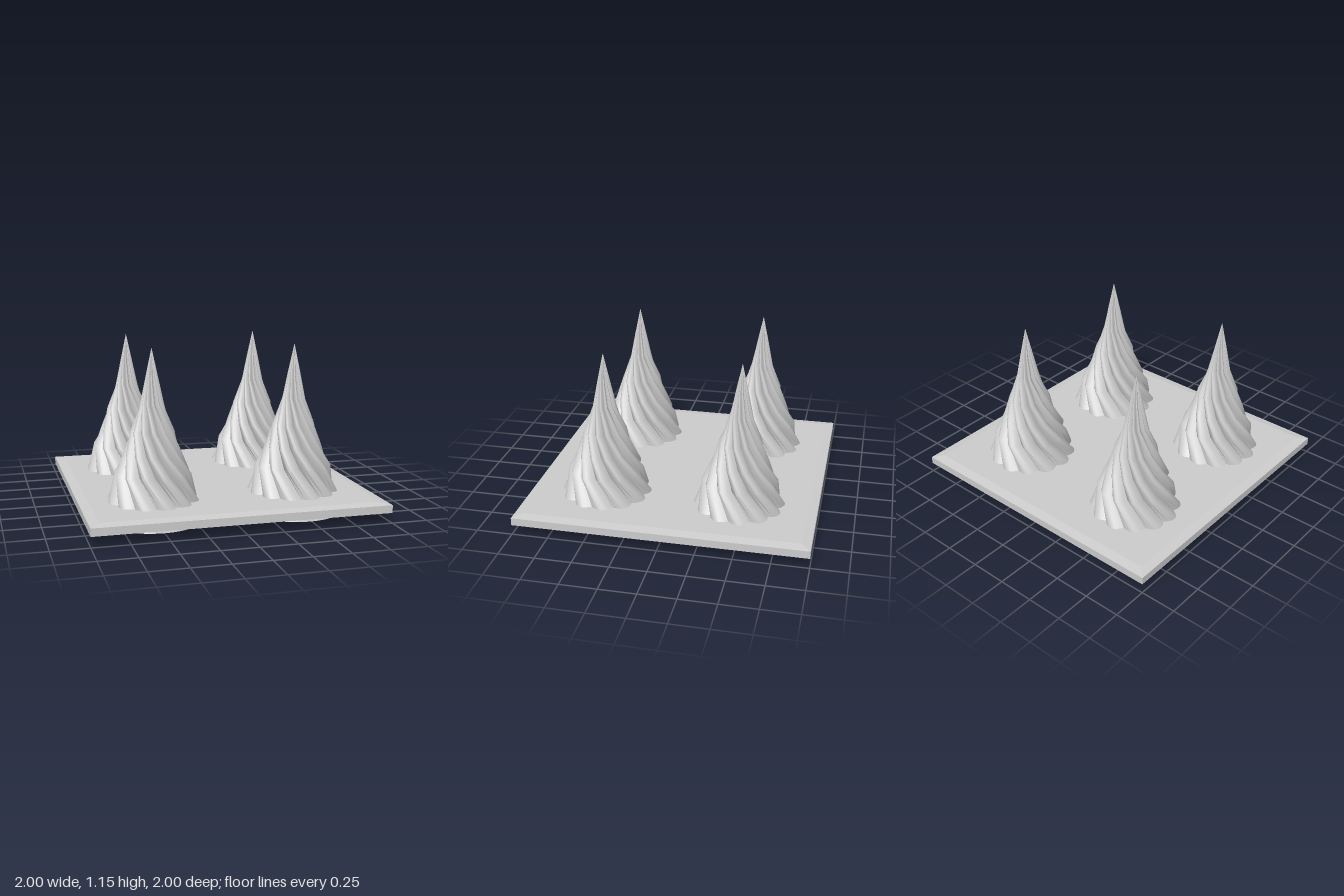
import * as THREE from 'three';
import { toCreasedNormals } from 'three/addons/utils/BufferGeometryUtils.js';

const LOBES = 12, STEPS = 6, SIDES = LOBES * STEPS;

// Cross-sections of a spire: height, ridge radius, groove radius
const RINGS = [
  [0, 0.35, 0.35], [0.07, 0.338, 0.315], [0.135, 0.312, 0.272], [0.32, 0.26, 0.2],
  [0.45, 0.197, 0.148], [0.6, 0.148, 0.107], [0.78, 0.08, 0.055], [0.95, 0.044, 0.031],
  [1.15, 0.001, 0.001],
];

// Twelve rounded flutes winding up to a point
function spireGeometry() {
  const pos = [], index = [];
  for (const [y, ridge, groove] of RINGS) {
    const twist = THREE.MathUtils.degToRad(8 - 160 * (Math.min(y, 0.85) - 0.135));
    for (let j = 0; j < SIDES; j++) {
      const lobe = Math.sin(Math.PI * (j % STEPS) / STEPS);
      const r = groove + (ridge - groove) * lobe;
      const a = twist + ((j - STEPS / 2) / SIDES) * Math.PI * 2;
      pos.push(r * Math.sin(a), y, r * Math.cos(a));
    }
  }
  for (let i = 0; i < RINGS.length - 1; i++) {
    for (let j = 0; j < SIDES; j++) {
      const k = (j + 1) % SIDES;
      const a = i * SIDES + j, b = i * SIDES + k, c = b + SIDES, d = a + SIDES;
      index.push(a, b, c, a, c, d);
    }
  }
  // Flat underside
  const centre = pos.length / 3;
  pos.push(0, 0, 0);
  for (let j = 0; j < SIDES; j++) index.push(centre, (j + 1) % SIDES, j);
  const geo = new THREE.BufferGeometry();
  geo.setAttribute('position', new THREE.Float32BufferAttribute(pos, 3));
  geo.setIndex(index);
  return toCreasedNormals(geo, 0.55);
}

export function createModel() {
  const model = new THREE.Group();
  model.name = 'spikePlate';
  const flat = new THREE.MeshStandardMaterial({ color: 0xcccccc, flatShading: true });
  const smooth = new THREE.MeshStandardMaterial({ color: 0xcccccc });

  // Square plate with a shallow bevelled top
  const plate = new THREE.Group();
  plate.name = 'plate';
  const slab = new THREE.Mesh(new THREE.BoxGeometry(2, 0.053, 2), flat);
  slab.name = 'plateSlab';
  slab.position.y = 0.0965;
  const bevel = new THREE.Mesh(
    new THREE.CylinderGeometry(0.935 * Math.SQRT2, Math.SQRT2, 0.012, 4).rotateY(Math.PI / 4), flat);
  bevel.name = 'plateBevel';
  bevel.position.y = 0.129;
  plate.add(slab, bevel);
  model.add(plate);

  // Four identical spires passing through the plate
  const spire = spireGeometry();
  for (const [zName, z] of [['front', 0.476], ['back', -0.464]]) {
    for (const [xName, x] of [['Left', 0.486], ['Right', -0.503]]) {
      const mesh = new THREE.Mesh(spire, smooth);
      mesh.name = `${zName}${xName}Spire`;
      mesh.position.set(x, 0, z);
      model.add(mesh);
    }
  }
  return model;
}
